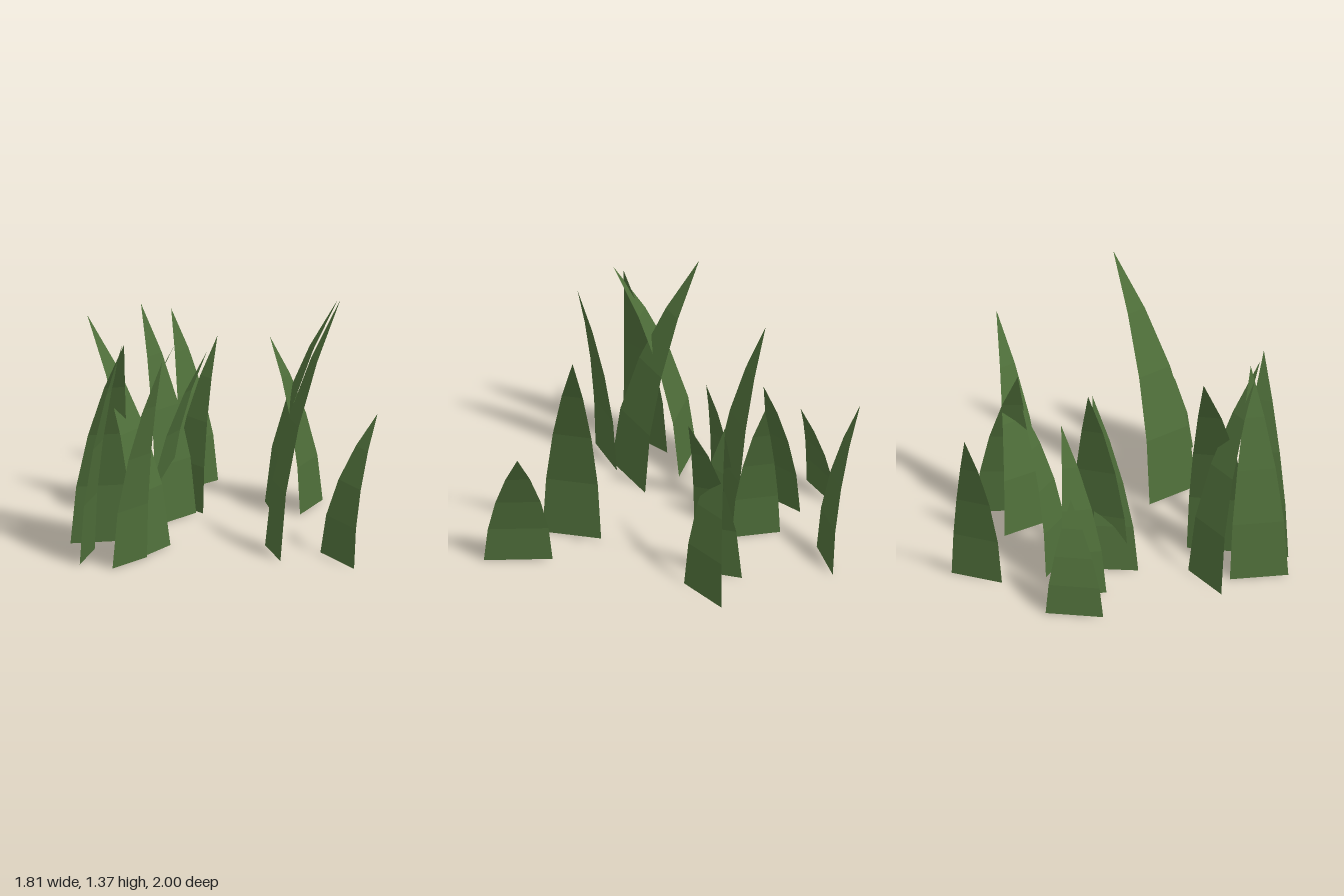
import * as THREE from 'three';

const green = new THREE.MeshStandardMaterial({ color: 0x4f6f3a, flatShading: true, side: THREE.DoubleSide });
green.name = 'grass green';

// One flat blade: a base edge from a to b on the ground, narrowing and bending over to its tip
function bladeGeometry([ax, az], [bx, bz], [tx, ty, tz]) {
  const rows = 4, pos = [], index = [];
  const cx = (ax + bx) / 2, cz = (az + bz) / 2;
  for (let i = 0; i <= rows; i++) {
    const t = i / rows;
    const bend = Math.pow(t, 1.7);
    const half = (1 - Math.pow(t, 1.55)) / 2;
    const x = cx + (tx - cx) * bend, z = cz + (tz - cz) * bend;
    const y = ty * t * (1.1 - 0.1 * t);
    if (i === rows) {
      pos.push(x, y, z);
    } else {
      pos.push(x - (bx - ax) * half, y, z - (bz - az) * half);
      pos.push(x + (bx - ax) * half, y, z + (bz - az) * half);
    }
  }
  for (let i = 0; i < rows - 1; i++) {
    const k = i * 2;
    index.push(k, k + 1, k + 3, k, k + 3, k + 2);
  }
  const last = (rows - 1) * 2;
  index.push(last, last + 1, last + 2);
  const g = new THREE.BufferGeometry();
  g.setAttribute('position', new THREE.Float32BufferAttribute(pos, 3));
  g.setIndex(index);
  g.computeVertexNormals();
  return g;
}

// Base left [x, z], base right [x, z], tip [x, y, z]
const clumps = {
  leftClump: [
    [[-0.625, 0.13], [-0.285, 0.015], [-0.575, 1.26, -0.34]],
    [[-0.815, 0.18], [-0.53, 0.12], [-0.59, 1.145, 0.325]],
    [[-0.905, 0.01], [-0.65, -0.18], [-0.65, 1.2, 0.06]],
    [[-0.685, -0.345], [-0.405, -0.195], [-0.68, 1.21, 0.11]],
  ],
  backClump: [
    [[-0.24, -0.86], [0.055, -0.965], [0, 0.62, -0.78]],
    [[0.415, -0.785], [0.705, -0.815], [0.53, 0.95, -1]],
    [[-0.13, -0.615], [0.065, -0.765], [0.185, 0.91, -0.54]],
  ],
  middleClump: [
    [[0.235, -0.355], [0.235, -0.62], [0.445, 0.925, -0.495]],
    [[-0.115, -0.325], [0.215, -0.39], [-0.005, 1.165, -0.59]],
    [[-0.17, -0.325], [0.05, -0.42], [0.16, 0.945, -0.23]],
  ],
  rightClump: [
    [[0.515, -0.095], [0.64, -0.33], [0.87, 1.165, 0.01]],
    [[0.63, -0.015], [0.905, -0.165], [0.605, 0.95, -0.245]],
  ],
  frontClump: [
    [[-0.02, 0.63], [0.11, 0.335], [0.45, 1.365, 0.56]],
    [[0.195, 0.995], [0.255, 0.63], [0.46, 0.79, 0.865]],
  ],
};

export function createModel() {
  const model = new THREE.Group();
  model.name = 'grassPatch';
  for (const [name, blades] of Object.entries(clumps)) {
    const clump = new THREE.Group();
    clump.name = name;
    blades.forEach((b, i) => {
      const blade = new THREE.Mesh(bladeGeometry(...b), green);
      blade.name = `grassBlade${i + 1}`;
      clump.add(blade);
    });
    model.add(clump);
  }
  return model;
}
